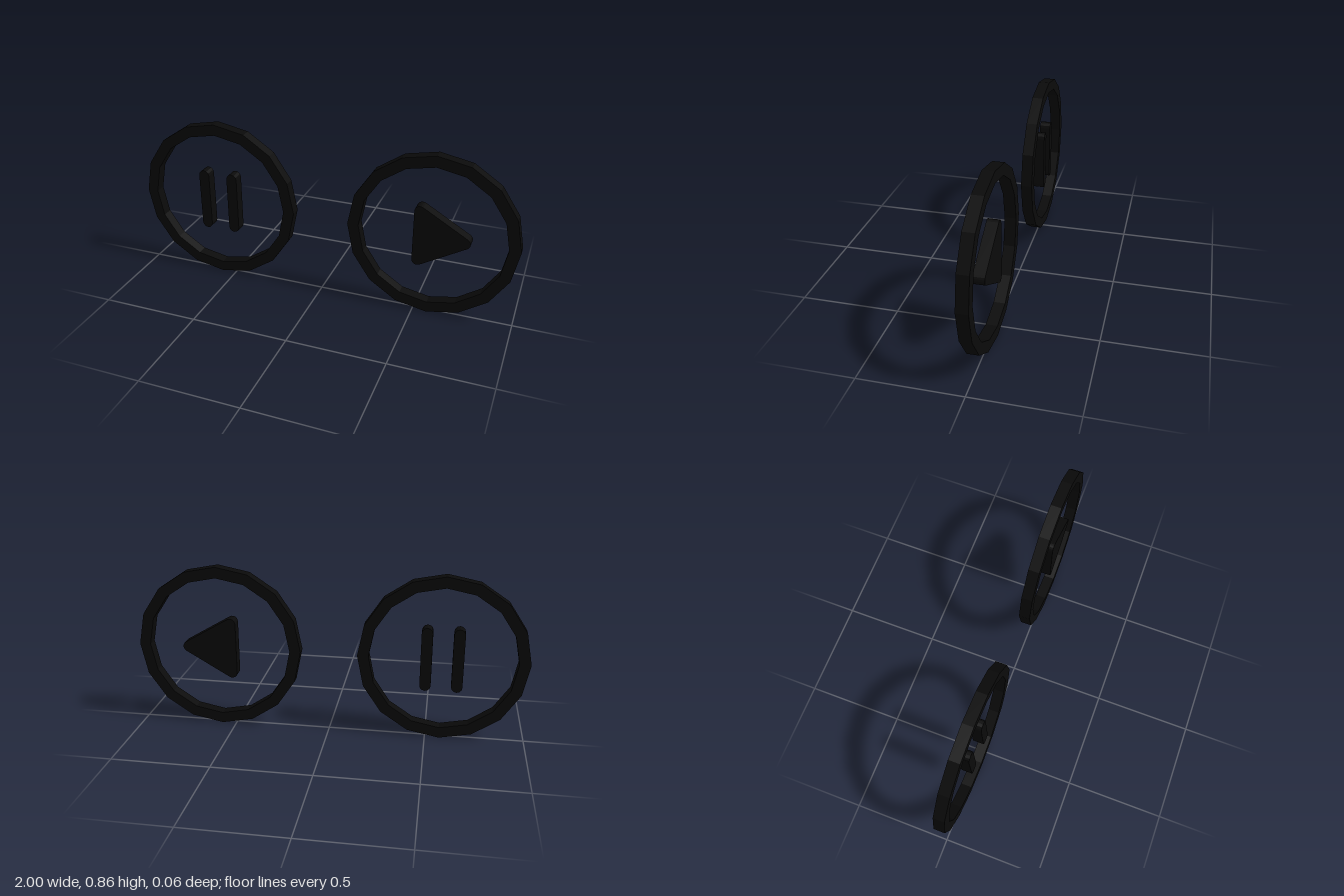
import * as THREE from 'three';

const DEPTH = 0.057;
const MID_Y = 0.4275;
const OFFSET_X = 0.5725;

export function createModel() {
  const model = new THREE.Group();
  const black = new THREE.MeshStandardMaterial({ color: 0x0a0a0a, flatShading: true });

  // Flat plate of constant depth, centred on z = 0
  function plate(name, shape, parent, x = 0, y = 0) {
    const geometry = new THREE.ExtrudeGeometry(shape, { depth: DEPTH, bevelEnabled: false, curveSegments: 6 });
    geometry.translate(0, 0, -DEPTH / 2);
    const mesh = new THREE.Mesh(geometry, black);
    mesh.name = name;
    mesh.position.set(x, y, 0);
    parent.add(mesh);
  }

  // Regular polygon outline
  function polygon(radius, sides) {
    return Array.from({ length: sides }, (_, i) => {
      const a = (i / sides) * Math.PI * 2;
      return new THREE.Vector2(Math.cos(a) * radius, Math.sin(a) * radius);
    });
  }

  // Outline rolled around counter-clockwise corner centres
  function rounded(corners, radius, steps = 6) {
    const points = [];
    const n = corners.length;
    corners.forEach(([x, y], i) => {
      const [px, py] = corners[(i + n - 1) % n];
      const [nx, ny] = corners[(i + 1) % n];
      const start = Math.atan2(y - py, x - px) - Math.PI / 2;
      let turn = Math.atan2(ny - y, nx - x) - Math.PI / 2 - start;
      while (turn <= 0) turn += Math.PI * 2;
      for (let k = 0; k <= steps; k++) {
        const a = start + (turn * k) / steps;
        points.push(new THREE.Vector2(x + Math.cos(a) * radius, y + Math.sin(a) * radius));
      }
    });
    return new THREE.Shape(points);
  }

  function button(name, side) {
    const group = new THREE.Group();
    group.name = name;
    group.position.set(side * OFFSET_X, MID_Y, 0);
    // Sixteen-sided rim
    const rim = new THREE.Shape(polygon(0.4275, 16));
    rim.holes.push(new THREE.Path(polygon(0.3705, 16).reverse()));
    plate('rim', rim, group);
    model.add(group);
    return group;
  }

  // Pause button: two round-ended bars
  const pause = button('pauseButton', -1);
  const bar = rounded([[0, -0.139], [0, 0.139]], 0.028);
  plate('rightBar', bar, pause, -0.076, -0.002);
  plate('leftBar', bar, pause, 0.082, -0.002);

  // Play button: triangle with rounded corners
  const play = button('playButton', 1);
  const triangle = rounded([[-0.063, -0.133], [0.163, 0], [-0.063, 0.133]], 0.028);
  plate('playTriangle', triangle, play, 0, -0.002);

  return model;
}
